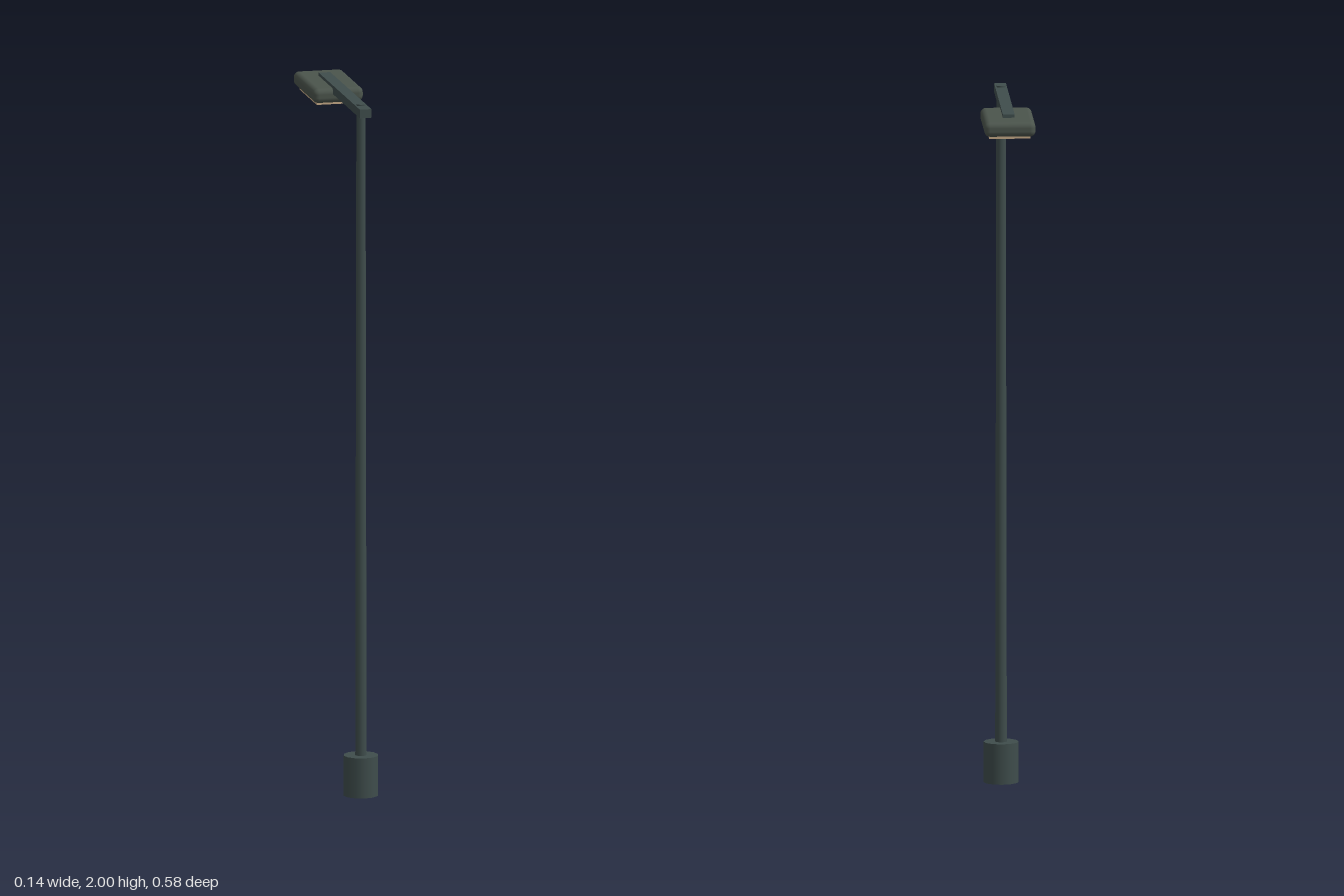
import * as THREE from 'three';
import { RoundedBoxGeometry } from 'three/addons/geometries/RoundedBoxGeometry.js';

export function createModel() {
  const group = new THREE.Group();
  const metal = new THREE.MeshStandardMaterial({ color: 0x3f4d4c });
  const housing = new THREE.MeshStandardMaterial({ color: 0x4b544c });
  const glass = new THREE.MeshStandardMaterial({ color: 0xc4a987 });

  const add = (name, geometry, material, x, y, z) => {
    const mesh = new THREE.Mesh(geometry, material);
    mesh.name = name;
    mesh.position.set(x, y, z);
    group.add(mesh);
  };

  const poleZ = 0.234;

  // Footing and slender tapered pole, its tip just above the arm
  add('base', new THREE.CylinderGeometry(0.05, 0.05, 0.116, 12), metal, 0, 0.058, poleZ);
  add('pole', new THREE.CylinderGeometry(0.0133, 0.0167, 2, 12), metal, 0, 1, poleZ);

  // Horizontal arm reaching back over the lamp head
  add('arm', new THREE.BoxGeometry(0.0335, 0.025, 0.501), metal, 0, 1.9835, 0.0405);

  // Rounded lamp housing with a shallow light panel below
  add('lampHead', new RoundedBoxGeometry(0.145, 0.042, 0.26, 3, 0.016), housing, 0, 1.966, -0.163);
  add('lightPanel', new THREE.BoxGeometry(0.117, 0.012, 0.209), glass, 0, 1.943, -0.163);

  return group;
}
